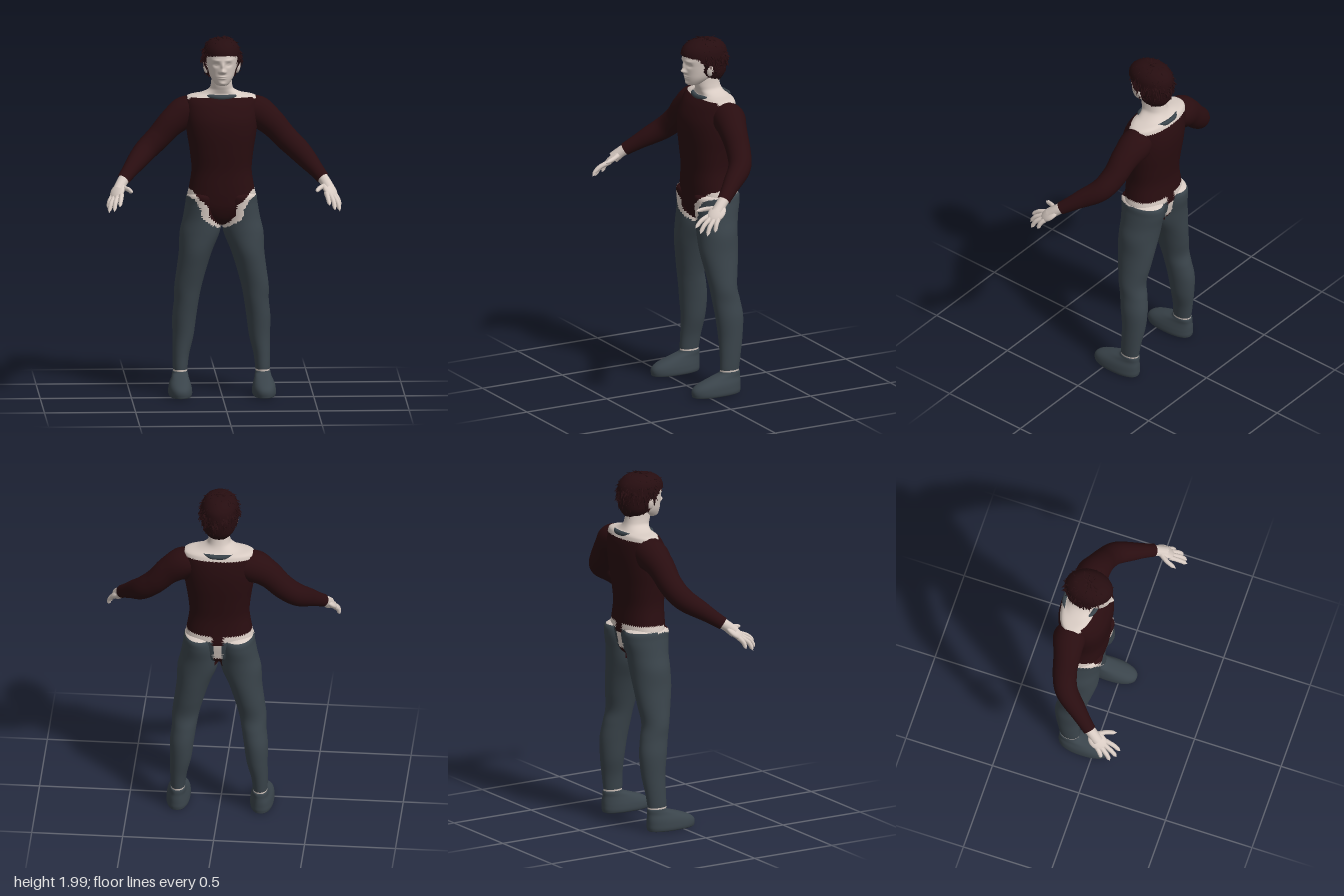
import * as THREE from 'three';
import { mergeGeometries } from 'three/addons/utils/BufferGeometryUtils.js';

const mat = (name, color, side = THREE.FrontSide) => {
  const m = new THREE.MeshStandardMaterial({ color, side });
  m.name = name;
  return m;
};
const V = (x, y, z) => new THREE.Vector3(x, y, z);

// smooth interpolation through a list of numbers, t in 0..1
function spline(a, t) {
  const f = t * (a.length - 1), i = Math.min(Math.floor(f), a.length - 2), u = f - i;
  const p = k => a[Math.max(0, Math.min(a.length - 1, k))];
  const m0 = (p(i + 1) - p(i - 1)) / 2, m1 = (p(i + 2) - p(i)) / 2;
  return p(i) + u * (m0 + u * (3 * (p(i + 1) - p(i)) - 2 * m0 - m1 + u * (2 * (p(i) - p(i + 1)) + m0 + m1)));
}
// piecewise linear lookup in [x, y] pairs
function lookup(table, x) {
  if (x <= table[0][0]) return table[0][1];
  for (let i = 1; i < table.length; i++) {
    const [x0, y0] = table[i - 1], [x1, y1] = table[i];
    if (x <= x1) return y0 + (y1 - y0) * (x - x0) / (x1 - x0);
  }
  return table[table.length - 1][1];
}

// stacked horizontal rings [y, centre x, half width, front z, back z];
// paint picks a material index for each face (-1 leaves it out)
function loft(rings, { rows = 60, cols = 48, power = 2, paint = () => 0, warp = () => {} } = {}) {
  const pos = [], buckets = [[], [], []], p = V(0, 0, 0);
  for (let i = 0; i <= rows; i++) {
    const [y, cx, hw, zf, zb] = [0, 1, 2, 3, 4].map(k => spline(rings.map(r => r[k]), i / rows));
    for (let j = 0; j < cols; j++) {
      const t = j / cols * Math.PI * 2, c = Math.cos(t), s = Math.sin(t);
      p.set(cx + hw * Math.sign(c) * Math.abs(c) ** (2 / power), y,
        (zf + zb) / 2 + (zf - zb) / 2 * Math.sign(s) * Math.abs(s) ** (2 / power));
      warp(p);
      pos.push(p.x, p.y, p.z);
    }
  }
  const face = (...q) => {
    const mid = k => (pos[q[0] * 3 + k] + pos[q[1] * 3 + k] + pos[q[2] * 3 + k]) / 3;
    const m = paint(mid(0), mid(1), mid(2));
    if (m >= 0) buckets[m].push(...q);
  };
  for (let i = 0; i < rows; i++) for (let j = 0; j < cols; j++) {
    const a = i * cols + j, b = i * cols + (j + 1) % cols;
    face(a, a + cols, b);
    face(b, a + cols, b + cols);
  }
  const g = new THREE.BufferGeometry();
  g.setAttribute('position', new THREE.Float32BufferAttribute(pos, 3));
  g.setIndex(buckets.flat());
  let start = 0;
  buckets.forEach((b, k) => { if (b.length) g.addGroup(start, b.length, k); start += b.length; });
  g.computeVertexNormals();
  return g;
}

// tube along points with a radius that changes
function limb(points, radii, n = 24, m = 16) {
  const curve = new THREE.CatmullRomCurve3(points);
  const g = new THREE.TubeGeometry(curve, n, 1, m), a = g.attributes.position, v = V(0, 0, 0);
  for (let i = 0; i < a.count; i++) {
    const t = Math.floor(i / (m + 1)) / n, c = curve.getPointAt(t);
    v.fromBufferAttribute(a, i).sub(c).multiplyScalar(Math.max(0.0005, spline(radii, t))).add(c);
    a.setXYZ(i, v.x, v.y, v.z);
  }
  return g;
}

export function createModel() {
  const group = new THREE.Group();
  const skin = mat('skin', 0xd8cbc3), shirt = mat('shirt', 0x290d10);
  const cloth = mat('greyCloth', 0x3a444b), hair = mat('hair', 0x260d10, THREE.DoubleSide);
  const add = (name, g, m, parent = group) => {
    const mesh = new THREE.Mesh(g, m);
    mesh.name = name;
    parent.add(mesh);
    return mesh;
  };
  const bodyMats = [skin, shirt, cloth];

  // clothing borders: hem of the top, waist of the trousers, bare shoulders
  const hem = [[0, .945], [.03, .955], [.07, 1], [.08, 1.06], [.12, 1.09], [.165, 1.14], [.2, 1.15]];
  const waist = [[0, .92], [.04, .94], [.11, .985], [.12, 1.04], [.15, 1.09], [.18, 1.105]];
  const bodyPaint = (x, y, z) => {
    const ax = Math.abs(x), front = z > -.12;
    if (y > 1.5) return y > (z > -.1 ? 1.648 : z < -.2 ? 1.628 : 1.638) && ax < .188 ? 0 : 1;
    if (y < .135) return 0;
    const top = front ? lookup(hem, ax) : ax < .03 ? 1.09 : 1.145;
    const low = front ? lookup(waist, ax) : ax < .025 ? 1 : 1.112;
    return y > top ? 1 : y > low ? 0 : !front && ax < .02 && y > .93 ? 1 : 2;
  };

  // torso and neck
  add('torso', loft([
    [.94, 0, .02, -.07, -.16], [.98, 0, .1, -.03, -.22], [1.04, 0, .18, -.007, -.24], [1.1, 0, .188, -.001, -.25],
    [1.16, 0, .177, 0, -.245], [1.25, 0, .165, 0, -.24], [1.35, 0, .174, .01, -.25], [1.45, 0, .19, .017, -.263],
    [1.53, 0, .198, .01, -.268], [1.6, 0, .2, -.02, -.262], [1.64, 0, .197, -.05, -.25], [1.656, 0, .175, -.07, -.24],
    [1.668, 0, .115, -.075, -.225], [1.69, 0, .07, -.068, -.21], [1.72, 0, .058, -.058, -.2], [1.78, 0, .054, -.05, -.19],
  ], { rows: 105, cols: 72, power: 2.25, paint: bodyPaint }), bodyMats);

  // collar strips in front of and behind the neck
  const strip = (name, pts) => add(name, limb(pts, [.002, .012, .013, .012, .002], 24, 10), cloth);
  strip('frontCollar', [V(-.105, 1.655, -.115), V(-.06, 1.655, -.075), V(0, 1.652, -.062), V(.06, 1.655, -.075), V(.105, 1.655, -.115)]);
  strip('backCollar', [V(-.08, 1.66, -.222), V(-.04, 1.655, -.24), V(0, 1.653, -.243), V(.04, 1.655, -.24), V(.08, 1.66, -.222)]);

  for (const s of [-1, 1]) {
    const side = s > 0 ? 'left' : 'right';
    const P = (x, y, z) => V(x * s, y, z);
    const mirror = rings => rings.map(([y, x, ...r]) => [y, x * s, ...r]);

    // leg
    add(side + 'Leg', loft(mirror([
      [.1, .225, .034, -.095, -.195], [.14, .226, .04, -.088, -.2], [.22, .222, .046, -.09, -.212], [.32, .21, .058, -.088, -.228],
      [.43, .203, .066, -.075, -.235], [.52, .192, .068, -.062, -.222], [.6, .184, .075, -.05, -.206], [.7, .164, .082, -.03, -.22],
      [.8, .142, .092, -.012, -.232], [.9, .12, .11, -.01, -.24], [.98, .107, .105, -.01, -.25], [1.06, .1, .098, -.003, -.266],
      [1.11, .1, .089, -.004, -.26], [1.13, .09, .06, -.05, -.2],
    ]), { rows: 96, cols: 44, paint: bodyPaint }), bodyMats);

    // shoe
    add(side + 'Shoe', loft(mirror([
      [0, .23, .001, -.05, -.06], [.001, .23, .052, .07, -.185], [.015, .23, .065, .088, -.203], [.045, .23, .064, .086, -.205],
      [.07, .23, .058, .055, -.205], [.095, .228, .048, -.01, -.203], [.115, .227, .043, -.075, -.203], [.127, .227, .04, -.09, -.2],
      [.125, .227, .03, -.1, -.19],
    ]), { rows: 40, cols: 40, power: 2.3 }), cloth);

    // sleeve
    add(side + 'Sleeve', limb(
      [P(.1, 1.56, -.16), P(.19, 1.558, -.158), P(.27, 1.505, -.145), P(.35, 1.42, -.132), P(.42, 1.355, -.1), P(.49, 1.285, -.01), P(.552, 1.218, .078)],
      [.05, .09, .079, .07, .066, .062, .054, .043, .036], 48, 28), shirt);

    // hand
    const hand = new THREE.Group();
    hand.name = side + 'Hand';
    group.add(hand);
    add('wrist', limb([P(.535, 1.236, .054), P(.558, 1.208, .092), P(.58, 1.17, .135)], [.031, .03, .032], 10, 14), skin, hand);
    const f = P(.025, -.065, .085).normalize(), n = f.clone().cross(P(.06, -.015, -.05)).normalize();
    const palm = new THREE.SphereGeometry(1, 20, 14).scale(.046, .02, .062);
    palm.applyMatrix4(new THREE.Matrix4().makeBasis(n.clone().cross(f), n, f).setPosition(P(.582, 1.168, .135)));
    add('palm', palm, skin, hand);
    const digits = {
      indexFinger: [P(.562, 1.155, .165), P(.568, 1.135, .222), P(.576, 1.1, .264)],
      middleFinger: [P(.58, 1.148, .165), P(.598, 1.115, .222), P(.605, 1.072, .252)],
      ringFinger: [P(.597, 1.143, .155), P(.621, 1.108, .2), P(.633, 1.062, .222)],
      littleFinger: [P(.607, 1.146, .138), P(.627, 1.117, .162), P(.636, 1.078, .175)],
      thumb: [P(.558, 1.188, .115), P(.525, 1.182, .165), P(.505, 1.172, .222)],
    };
    for (const [name, pts] of Object.entries(digits))
      add(name, limb(pts, [.014, .0145, .013, .013, .012, .011, .001], 18, 10), skin, hand);

    // ear
    const ear = add(side + 'Ear', new THREE.SphereGeometry(1, 14, 10), skin);
    ear.scale.set(.012, .034, .02);
    ear.position.copy(P(.09, 1.815, -.1));
    ear.rotation.z = -.2 * s;
  }

  // head, with face relief as soft bumps [x, y, spread x, spread y, height]
  const bumps = [
    [0, 1.808, .013, .012, .022], [0, 1.835, .009, .022, .012], [.013, 1.803, .008, .007, .007], [.034, 1.843, .016, .011, -.011],
    [.034, 1.844, .009, .005, .005], [.034, 1.868, .022, .007, .005], [0, 1.778, .02, .004, .006], [0, 1.767, .017, .005, .006],
    [0, 1.738, .018, .01, .007],
  ];
  add('head', loft([
    [1.722, 0, .005, -.025, -.04], [1.727, 0, .03, -.008, -.08], [1.745, 0, .048, .001, -.12], [1.77, 0, .064, .006, -.16],
    [1.8, 0, .074, .009, -.19], [1.84, 0, .082, .014, -.215], [1.88, 0, .088, .014, -.225], [1.92, 0, .084, .003, -.215],
    [1.95, 0, .062, -.025, -.185], [1.965, 0, .01, -.09, -.12],
  ], {
    rows: 84, cols: 110, power: 2.15,
    warp: p => {
      if (p.z < -.05) return;
      const x = Math.abs(p.x), fade = Math.min(1, (p.z + .05) / .04);
      for (const [bx, by, sx, sy, h] of bumps)
        p.z += fade * h * Math.exp(-(((x - bx) / sx) ** 2) - ((p.y - by) / sy) ** 2);
    },
  }), [skin]);

  // hair cap, cut off along the hairline
  const hairline = z => lookup([[-.2, 1.745], [-.13, 1.76], [-.075, 1.785], [-.06, 1.85], [-.03, 1.885], [.03, 1.895]], z);
  add('hairCap', loft([
    [1.735, 0, .055, -.07, -.2], [1.78, 0, .085, -.05, -.23], [1.84, 0, .099, .005, -.243], [1.88, 0, .102, .024, -.245],
    [1.92, 0, .097, .02, -.238], [1.95, 0, .08, -.005, -.215], [1.97, 0, .052, -.045, -.18], [1.978, 0, .003, -.1, -.11],
  ], { rows: 48, cols: 56, paint: (x, y, z) => (y > hairline(z) ? 0 : -1) }), [hair]);

  // hair tufts combed down and out from the crown
  let seed = 7;
  const rnd = () => (seed = (seed * 16807) % 2147483647) / 2147483647;
  const tufts = [], up = V(0, 1, 0);
  for (let i = 0; i < 620; i++) {
    const h = 1 - rnd() * 1.75, a = rnd() * Math.PI * 2, r = Math.sqrt(1 - h * h);
    const nrm = V(r * Math.cos(a), h, r * Math.sin(a));
    const p = V(nrm.x * .099, 1.865 + nrm.y * (h > 0 ? .108 : .14), -.11 + nrm.z * .13);
    if (p.y < hairline(p.z) + .022) continue;
    const dir = V(0, -1, 0).addScaledVector(nrm, nrm.y).normalize().addScaledVector(nrm, .12 + .3 * rnd());
    dir.add(V(rnd() - .5, rnd() - .5, rnd() - .5).multiplyScalar(.7)).normalize();
    const len = .035 + .025 * rnd();
    const cone = new THREE.ConeGeometry(.011, len, 4).toNonIndexed();
    cone.scale(1, 1, .6).translate(0, len * .25, 0);
    cone.applyQuaternion(new THREE.Quaternion().setFromUnitVectors(up, dir)).translate(p.x, p.y, p.z);
    cone.computeVertexNormals();
    tufts.push(cone);
  }
  add('hairTufts', mergeGeometries(tufts), hair);
  return group;
}
